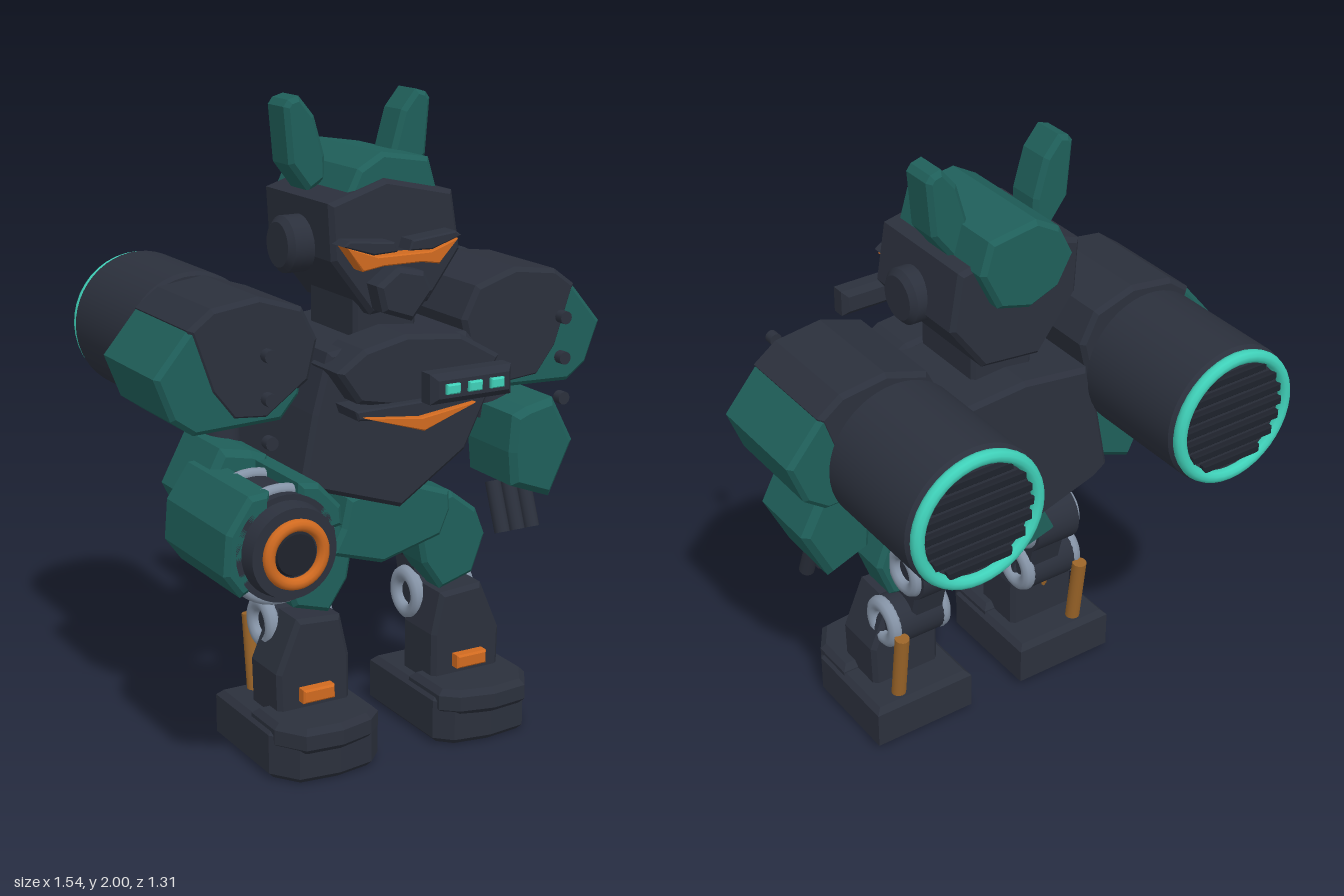
import * as THREE from 'three';

export function createModel() {
  const root = new THREE.Group();
  root.name = 'robot';
  const mat = (name, color) => {
    const m = new THREE.MeshStandardMaterial({ color });
    m.name = name;
    return m;
  };
  const dark = mat('darkArmor', 0x2b303c), green = mat('greenArmor', 0x1f5f5a);
  const orange = mat('orangeGlow', 0xd06a20), teal = mat('tealGlow', 0x3fd0b8);
  const grey = mat('greyMetal', 0x8593a6), bronze = mat('bronzePiston', 0x9a6428);
  const black = mat('blackTrim', 0x1e222b);

  const add = (name, geo, m) => {
    const mesh = new THREE.Mesh(geo, m);
    mesh.name = name;
    root.add(mesh);
    return mesh;
  };
  // Bevelled plate: front outline pushed from z0 to z1; s = -1 mirrors it
  const plate = (name, m, pts, z0, z1, s = 1, b = 0.014) => {
    const shape = new THREE.Shape(pts.map(([x, y]) => new THREE.Vector2(x * s, y)));
    const geo = new THREE.ExtrudeGeometry(shape, {
      depth: z1 - z0 - 2 * b, bevelEnabled: b > 0, bevelThickness: b, bevelSize: b, bevelOffset: -b, bevelSegments: 1,
    });
    geo.translate(0, 0, z0 + b);
    return add(name, geo, m);
  };
  // Outline seen from above (x, z), raised from y0 to y1
  const slab = (name, m, pts, y0, y1, s, b = 0.018) => {
    const mesh = plate(name, m, pts.map(([x, z]) => [x, -z]), y0, y1, s, b);
    mesh.geometry.rotateX(-Math.PI / 2);
    return mesh;
  };
  const box = (name, m, x0, x1, y0, y1, z0, z1, b = 0.012) =>
    plate(name, m, [[x0, y0], [x1, y0], [x1, y1], [x0, y1]], z0, z1, 1, b);
  // Rod between two points
  const rod = (name, m, a, c, r, r2 = r, seg = 24) => {
    const p = new THREE.Vector3(...a), q = new THREE.Vector3(...c), d = q.clone().sub(p);
    const mesh = add(name, new THREE.CylinderGeometry(r2, r, d.length(), seg), m);
    mesh.position.copy(p).add(q).multiplyScalar(0.5);
    mesh.quaternion.setFromUnitVectors(new THREE.Vector3(0, 1, 0), d.normalize());
    return mesh;
  };
  const ring = (name, m, x, y, z, r, t, alongX = false) => {
    const mesh = add(name, new THREE.TorusGeometry(r, t, 10, 40), m);
    mesh.position.set(x, y, z);
    if (alongX) mesh.rotation.y = Math.PI / 2;
    return mesh;
  };

  // Head
  plate('head', dark, [[-0.21, 1.71], [-0.02, 1.77], [0.21, 1.72], [0.24, 1.54], [0.13, 1.39], [-0.07, 1.37], [-0.2, 1.54]], -0.2, 0.21);
  plate('crest', green, [[-0.15, 1.7], [-0.1, 1.8], [-0.02, 1.845], [0.14, 1.82], [0.17, 1.72], [0.11, 1.6], [0, 1.57], [-0.1, 1.61]], -0.25, 0.19);
  plate('visor', orange, [[-0.185, 1.59], [-0.08, 1.555], [0.1, 1.555], [0.195, 1.585], [0.13, 1.515], [0.07, 1.525], [-0.06, 1.525], [-0.13, 1.515]], 0.2, 0.265, 1, 0.004);
  plate('muzzle', dark, [[-0.09, 1.47], [-0.02, 1.52], [0.07, 1.5], [0.1, 1.44], [0.03, 1.355], [-0.07, 1.39]], 0.2, 0.285);
  box('neck', dark, -0.1, 0.115, 1.27, 1.46, -0.12, 0.16);
  for (const s of [1, -1]) {
    plate('brow', dark, [[0.02, 1.565], [0.1, 1.562], [0.2, 1.595], [0.18, 1.61], [0.03, 1.595]], 0.2, 0.275, s, 0.005);
    plate('ear', green, [[0.235, 1.99], [0.2, 2], [0.15, 1.94], [0.115, 1.82], [0.115, 1.75], [0.17, 1.715], [0.235, 1.8], [0.25, 1.97]], -0.105, 0.02, s);
    rod('earDisc', dark, [s * 0.2, 1.57, 0.02], [s * 0.265, 1.57, 0.02], 0.086);
    rod('earDiscRim', dark, [s * 0.265, 1.57, 0.02], [s * 0.282, 1.57, 0.02], 0.086, 0.068);
  }

  // Torso
  plate('torso', dark, [[-0.23, 1.28], [-0.28, 1.1], [-0.32, 0.9], [-0.27, 0.865], [0.02, 0.77], [0.25, 0.92], [0.34, 1.1], [0.31, 1.22], [0.25, 1.29], [0, 1.31]], -0.23, 0.24);
  plate('chestPlate', dark, [[-0.25, 1.24], [-0.16, 1.3], [-0.02, 1.33], [0.17, 1.31], [0.31, 1.23], [0.25, 1.13], [0.02, 1.1], [-0.18, 1.14]], 0.15, 0.33);
  plate('chestLip', dark, [[-0.21, 1.13], [0.21, 1.135], [0.19, 1.1], [0, 1.08], [-0.2, 1.1]], 0.2, 0.36, 1, 0.006);
  plate('chestMouth', orange, [[-0.19, 1.112], [0, 1.09], [0.19, 1.112], [0.01, 1.048]], 0.22, 0.383, 1, 0.004);
  box('sensorBar', dark, -0.125, 0.145, 1.2, 1.288, 0.56, 0.64, 0.018);
  for (const x of [-0.064, 0.009, 0.082]) box('sensorLight', teal, x - 0.022, x + 0.022, 1.231, 1.26, 0.638, 0.655, 0.004);
  plate('pelvis', green, [[-0.14, 0.81], [0.01, 0.855], [0.22, 0.78], [0.225, 0.72], [0.19, 0.64], [-0.02, 0.585], [-0.2, 0.64], [-0.16, 0.72]], -0.13, 0.2);

  for (const s of [1, -1]) {
    // Shoulders
    plate('shoulderPad', green, [[0.77, 1.26], [0.66, 1.39], [0.5, 1.42], [0.28, 1.32], [0.31, 1.16], [0.37, 1.09], [0.65, 1.08], [0.72, 1.13]], -0.168, 0.208, s);
    plate('shoulderCap', dark, [[0.665, 1.39], [0.59, 1.445], [0.44, 1.465], [0.3, 1.42], [0.25, 1.32], [0.28, 1.2], [0.42, 1.1], [0.53, 1.11], [0.6, 1.2]], -0.17, 0.213, s);
    for (const y of [1.335, 1.21, 1.085]) rod('shoulderBolt', dark, [s * 0.5, y, 0.365], [s * 0.5, y, 0.395], 0.02, 0.02, 12);

    // Thruster pods with slatted vents
    const px = s * 0.45, py = 1.243;
    rod('thrusterPod', dark, [px, py, -0.225], [px, py, -0.61], 0.222, 0.222, 48);
    rod('thrusterFront', dark, [px, py, -0.225], [px, py, -0.215], 0.222, 0.21, 48);
    rod('thrusterEnd', dark, [px, py, -0.61], [px, py, -0.63], 0.222, 0.205, 48);
    ring('thrusterRing', teal, px, py, -0.635, 0.197, 0.02);
    for (let i = -3; i <= 3; i++) {
      const w = Math.sqrt(0.18 ** 2 - (i * 0.048) ** 2);
      box('ventSlat', black, px - w, px + w, py + i * 0.048 - 0.014, py + i * 0.048 + 0.014, -0.648, -0.625, 0.004);
    }

    // Arms
    rod('upperArm', dark, [s * 0.48, 1.18, 0.01], [s * 0.48, 0.95, 0.03], 0.058);
    plate('forearm', green, [[0.43, 1], [0.48, 1.02], [0.58, 1.04], [0.66, 0.89], [0.575, 0.715], [0.43, 0.77], [0.42, 0.88]], -0.03, 0.24, s, 0.02);

    // Legs
    rod('hipJoint', dark, [s * 0.14, 0.62, -0.02], [s * 0.3, 0.62, -0.02], 0.1);
    rod('kneeJoint', dark, [s * 0.17, 0.405, 0.035], [s * 0.35, 0.405, 0.035], 0.085);
    for (const x of [0.14, 0.3]) ring('hipRing', grey, s * x, 0.62, -0.02, 0.062, 0.025, true);
    for (const x of [0.17, 0.35]) ring('kneeRing', grey, s * x, 0.405, 0.035, 0.062, 0.026, true);
    const limb = box('thighStrut', dark, -0.06, 0.06, -0.13, 0.13, -0.065, 0.065);
    limb.position.set(s * 0.23, 0.51, 0.01);
    limb.rotation.x = -0.25;
    plate('thighArmor', green, [[0.17, 0.75], [0.24, 0.77], [0.33, 0.7], [0.365, 0.61], [0.32, 0.49], [0.2, 0.455], [0.135, 0.55], [0.12, 0.63]], 0.04, 0.185, s);
    plate('shin', dark, [[0.18, 0.455], [0.33, 0.465], [0.4, 0.3], [0.395, 0.12], [0.15, 0.12], [0.15, 0.32]], 0.035, 0.22, s);
    box('shinLight', orange, s * 0.275 - 0.054, s * 0.275 + 0.054, 0.206, 0.25, 0.21, 0.255, 0.006);
    rod('rearPiston', bronze, [s * 0.35, 0.12, -0.03], [s * 0.35, 0.4, -0.065], 0.024, 0.024, 16);
    rod('frontPiston', bronze, [s * 0.28, 0.12, 0.09], [s * 0.28, 0.38, 0.04], 0.026, 0.026, 16);
    slab('foot', dark, [[0.1, -0.085], [0.1, 0.3], [0.15, 0.35], [0.27, 0.37], [0.4, 0.355], [0.46, 0.27], [0.46, -0.085]], 0, 0.16, s);
    slab('toeCap', dark, [[0.11, 0.14], [0.11, 0.32], [0.16, 0.365], [0.27, 0.392], [0.39, 0.38], [0.45, 0.29], [0.45, 0.14]], 0.1, 0.182, s);
  }

  // Left hand fingers
  for (const x of [0.43, 0.487, 0.543]) rod('finger', dark, [x, 0.605, 0.18], [x, 0.76, 0.12], 0.025, 0.025, 12);

  // Right arm cannon
  const cx = -0.52, cy = 0.815;
  rod('cannonBarrel', dark, [cx, cy, 0.1], [cx, cy, 0.51], 0.157, 0.157, 40);
  plate('cannonOuterCasing', green, [[-0.565, 0.985], [-0.63, 0.98], [-0.7, 0.88], [-0.71, 0.76], [-0.66, 0.69], [-0.6, 0.72], [-0.565, 0.82]], 0.1, 0.51);
  plate('cannonInnerCasing', green, [[-0.475, 0.995], [-0.41, 0.985], [-0.34, 0.91], [-0.335, 0.85], [-0.4, 0.84], [-0.475, 0.84]], 0.1, 0.51);
  for (const z of [0.295, 0.465]) ring('cannonBand', grey, cx, cy, z, 0.16, 0.018);
  rod('cannonCollar', dark, [cx, cy, 0.5], [cx, cy, 0.56], 0.142, 0.132, 40);
  ring('muzzleRing', orange, cx, cy, 0.568, 0.085, 0.018);
  rod('muzzleCore', black, [cx, cy, 0.55], [cx, cy, 0.572], 0.07, 0.06, 32);
  return root;
}
